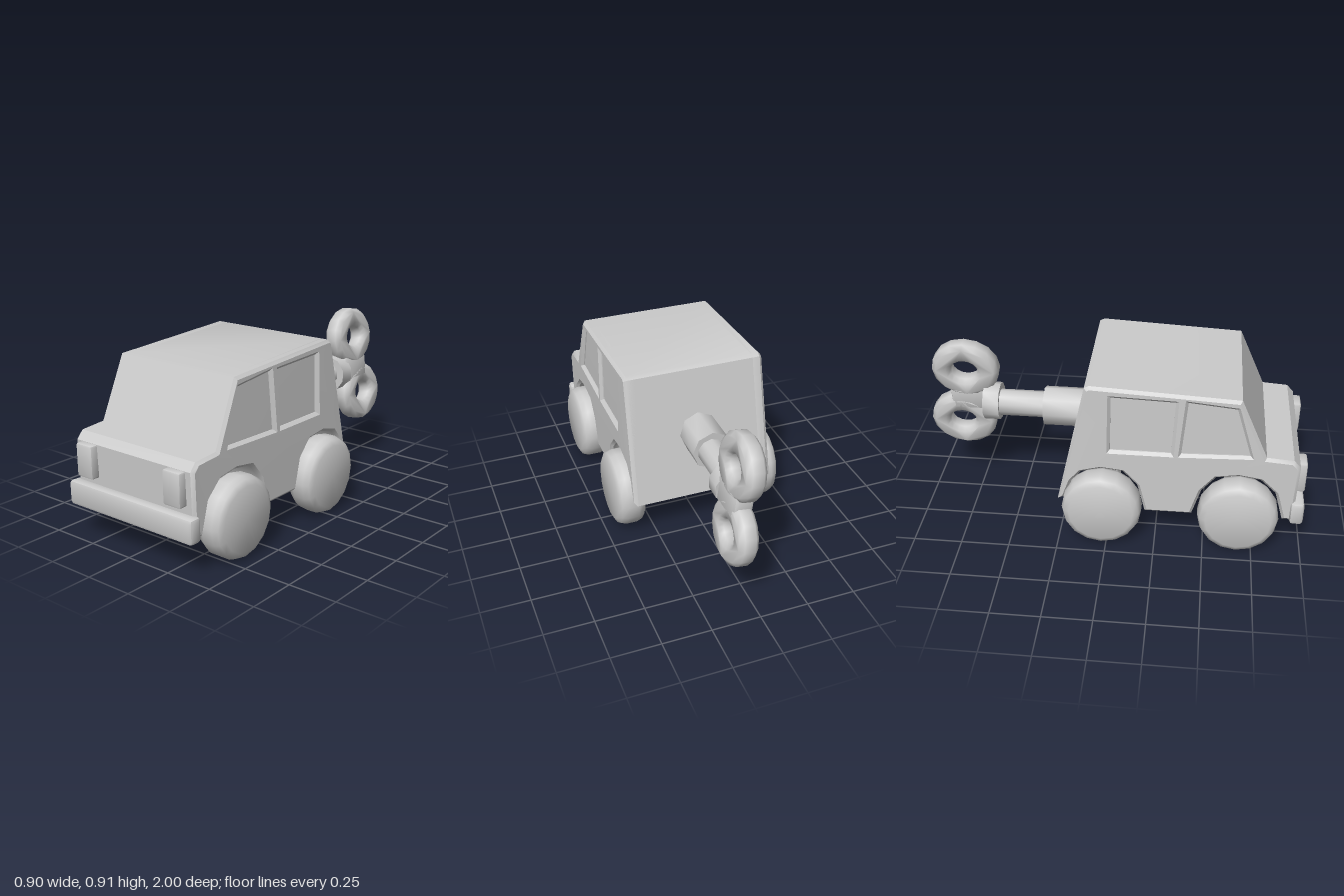
import * as THREE from 'three';
import { toCreasedNormals } from 'three/addons/utils/BufferGeometryUtils.js';
import { RoundedBoxGeometry } from 'three/addons/geometries/RoundedBoxGeometry.js';

const V = (pts) => pts.map(([z, y]) => new THREE.Vector2(z, y));

// Extrudes a (z, y) outline along x; its total width is centred on x = cx
function sideExtrude(shape, width, cx = 0, bevel = 0) {
  const depth = width - 2 * bevel;
  const g = new THREE.ExtrudeGeometry(shape, {
    depth, curveSegments: 8, bevelEnabled: bevel > 0, bevelSegments: 1,
    bevelSize: bevel, bevelThickness: bevel, bevelOffset: -bevel,
  });
  g.translate(0, 0, -depth / 2);
  g.rotateY(-Math.PI / 2);
  g.translate(cx, 0, 0);
  return g;
}

// Narrows the cabin slightly towards the roof
function taper(g) {
  const p = g.attributes.position;
  for (let i = 0; i < p.count; i++) {
    p.setX(i, p.getX(i) * (1 - 0.06 * Math.max(0, p.getY(i) - 0.5)));
  }
  return g;
}

export function createModel() {
  const model = new THREE.Group();
  const mat = new THREE.MeshStandardMaterial({ color: 0xcccccc });
  const add = (name, geo, parent = model, crease = 0.6) => {
    const mesh = new THREE.Mesh(toCreasedNormals(geo, crease), mat);
    mesh.name = name;
    parent.add(mesh);
    return mesh;
  };

  // Body outline with wheel arches, (z, y)
  const outline = V([
    [0.95, 0.18], [0.96, 0.5], [0.925, 0.54], [0.79, 0.55], [0.65, 0.865],
    [-0.085, 0.902], [-0.11, 0.89], [-0.255, 0.225],
    [-0.218, 0.24], [-0.18, 0.345], [-0.13, 0.405], [-0.03, 0.432], [0.08, 0.42],
    [0.155, 0.34], [0.195, 0.18],
    [0.435, 0.18], [0.48, 0.33], [0.55, 0.415], [0.66, 0.432], [0.77, 0.415],
    [0.85, 0.34], [0.895, 0.18],
  ]);
  const windows = [
    [[0.71, 0.555], [0.63, 0.815], [0.395, 0.838], [0.37, 0.545]],
    [[0.32, 0.545], [0.335, 0.835], [0.02, 0.845], [0.015, 0.545]],
  ];
  add('bodyCore', taper(sideExtrude(new THREE.Shape(outline), 0.72)));

  // Side panels with recessed window openings
  for (const s of [1, -1]) {
    const panel = new THREE.Shape(outline);
    panel.holes = windows.map((w) => new THREE.Path(V(w)));
    add(s > 0 ? 'leftSidePanel' : 'rightSidePanel',
      taper(sideExtrude(panel, 0.07, s * 0.345, 0.015)));
  }

  // Bumper and headlights
  add('frontBumper', new RoundedBoxGeometry(0.8, 0.125, 0.07, 1, 0.018)).position.set(0, 0.232, 0.965);
  for (const s of [1, -1]) {
    add(s > 0 ? 'leftHeadlight' : 'rightHeadlight',
      new RoundedBoxGeometry(0.105, 0.168, 0.06, 1, 0.01)).position.set(s * 0.282, 0.415, 0.968);
  }

  // Wheels on axles
  const tyre = V([[0, -0.075], [0.165, -0.075], [0.193, -0.06], [0.205, -0.03],
    [0.205, 0.03], [0.193, 0.06], [0.165, 0.075], [0, 0.075]]);
  for (const [name, z] of [['front', 0.67], ['rear', -0.025]]) {
    const axle = new THREE.CylinderGeometry(0.07, 0.07, 0.64, 10);
    axle.rotateZ(Math.PI / 2);
    add(name + 'Axle', axle).position.set(0, 0.2, z);
    for (const s of [1, -1]) {
      const wheel = new THREE.LatheGeometry(tyre, 16);
      wheel.rotateZ(Math.PI / 2);
      add(name + (s > 0 ? 'LeftWheel' : 'RightWheel'), wheel, model, 1).position.set(s * 0.375, 0.205, z);
    }
  }

  // Wind-up key: socket, shaft and collar
  const key = new THREE.Group();
  key.name = 'windUpKey';
  model.add(key);
  const rod = (name, r, z0, z1, x, sides) => {
    const g = new THREE.CylinderGeometry(r, r, z0 - z1, sides);
    g.rotateX(Math.PI / 2);
    add(name, g, key, 0.9).position.set(x, 0.556, (z0 + z1) / 2);
  };
  rod('keySocket', 0.105, -0.12, -0.365, 0, 8);
  rod('keyShaft', 0.07, -0.3, -0.63, 0.008, 10);
  rod('keyCollar', 0.1, -0.605, -0.69, 0.02, 10);

  // Key bow: two thick rings joined by a block, rolled a little about the shaft
  const bow = new THREE.Group();
  bow.name = 'keyBow';
  bow.position.set(0.05, 0.58, 0);
  bow.rotation.z = 0.13;
  key.add(bow);
  for (const [name, z, y] of [['upperRing', -0.785, 0.168], ['lowerRing', -0.825, -0.165]]) {
    const ring = new THREE.Shape().absellipse(z, y, 0.177, 0.163, 0, Math.PI * 2);
    ring.holes.push(new THREE.Path().absellipse(z - 0.005, y, 0.072, 0.058, 0, Math.PI * 2));
    add(name, sideExtrude(ring, 0.1, 0, 0.022), bow, 0.9);
  }
  add('bowBlock', new RoundedBoxGeometry(0.1, 0.15, 0.21, 1, 0.02), bow).position.set(0, -0.01, -0.77);

  return model;
}
